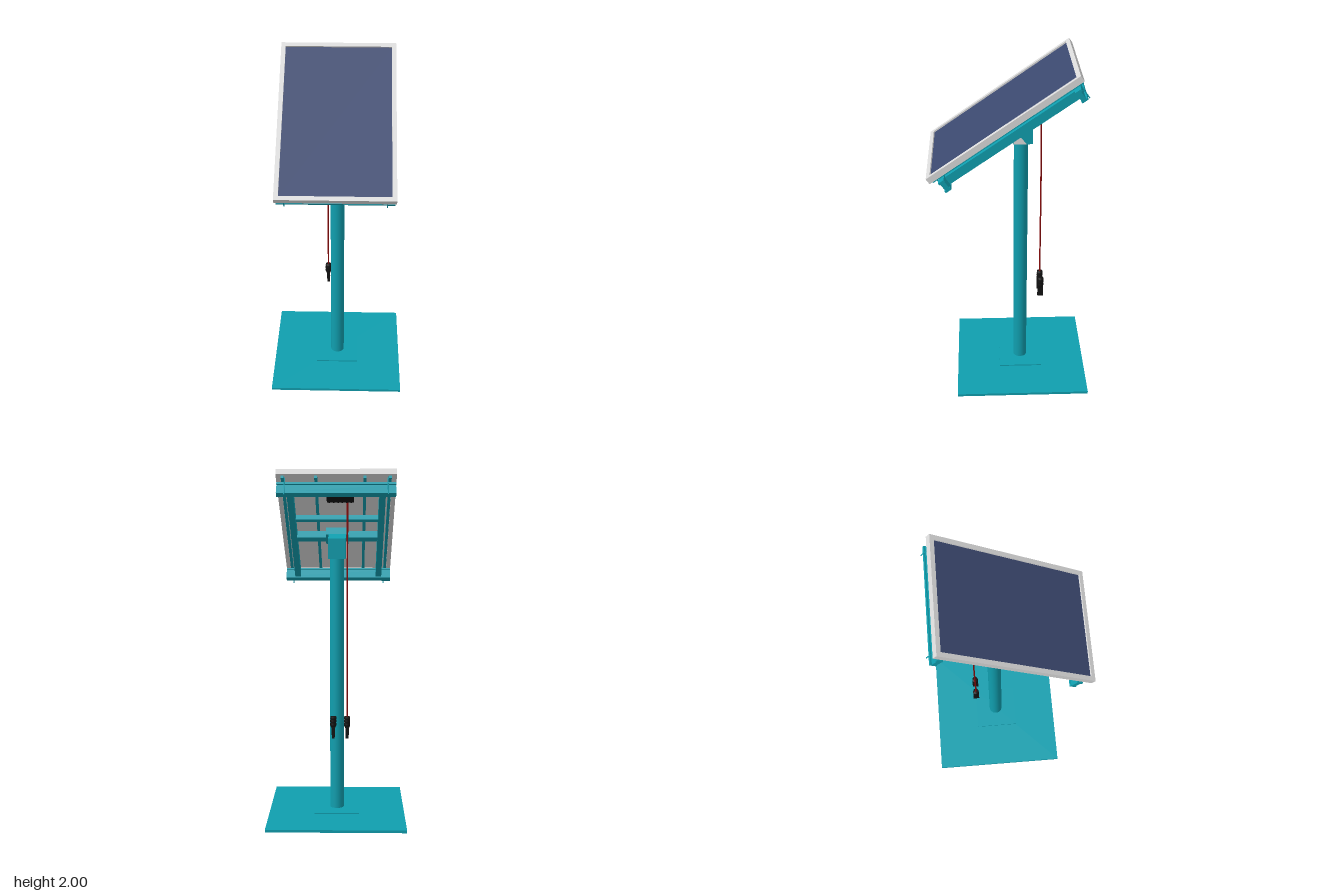
import * as THREE from 'three';

const mat = (name, color, side = THREE.FrontSide) => {
  const m = new THREE.MeshStandardMaterial({ color, side });
  m.name = name;
  return m;
};

export function createModel() {
  const teal = mat('teal paint', 0x109eae);
  const silver = mat('silver frame', 0xdadada);
  const navy = mat('navy cells', 0x3b486f);
  const black = mat('black plastic', 0x121212);
  const red = mat('red cable', 0x8a0a0a);
  const root = new THREE.Group();
  root.name = 'solarPanelStand';

  const add = (parent, name, geo, material, x = 0, y = 0, z = 0) => {
    const m = new THREE.Mesh(geo, material);
    m.name = name;
    m.position.set(x, y, z);
    parent.add(m);
    return m;
  };
  // Box given by its centre and size
  const box = (parent, name, material, [x, y, z], [w, h, d]) =>
    add(parent, name, new THREE.BoxGeometry(w, h, d), material, x, y, z);

  // Base and pole
  const poleZ = -0.066;
  box(root, 'basePlate', teal, [0, 0.0075, poleZ - 0.002], [0.794, 0.015, 0.79]);
  box(root, 'poleFlange', teal, [0, 0.018, poleZ], [0.26, 0.008, 0.26]);
  add(root, 'pole', new THREE.CylinderGeometry(0.041, 0.041, 1.56, 32), teal, 0, 0.8, poleZ);

  // Pole head: side profile in (z, y), extruded along x
  const sideExtrude = (points, width) => {
    const shape = new THREE.Shape(points.map(([z, y]) => new THREE.Vector2(-z, y)));
    const geo = new THREE.ExtrudeGeometry(shape, { depth: width, bevelEnabled: false });
    return geo.translate(0, 0, -width / 2).rotateY(Math.PI / 2);
  };
  add(root, 'poleHead', sideExtrude(
    [[-0.02, 1.505], [-0.13, 1.505], [-0.13, 1.62], [-0.04, 1.65], [0, 1.66], [-0.02, 1.6]], 0.1), teal);
  for (const s of [-1, 1]) {
    add(root, 'headGusset', sideExtrude([[-0.022, 1.6], [-0.022, 1.506], [-0.095, 1.506]], 0.004),
      silver, s * 0.051, 0, 0);
  }

  // Tilted assembly: local y is the panel normal, its top face at y = 0
  const tilt = new THREE.Group();
  tilt.name = 'tiltedPanel';
  tilt.position.set(0, 1.715, 0.054);
  tilt.rotation.x = THREE.MathUtils.degToRad(35);
  root.add(tilt);

  // Panel frame, back sheet and cell sheet
  const W = 0.652, L = 0.993, T = 0.035, rim = 0.025;
  for (const s of [-1, 1]) {
    box(tilt, 'frameSide', silver, [s * (W - rim) / 2, -T / 2, 0], [rim, T, L]);
    box(tilt, 'frameEnd', silver, [0, -T / 2, s * (L - rim) / 2], [W - 2 * rim, T, rim]);
  }
  box(tilt, 'backSheet', silver, [0, -0.022, 0], [W - 2 * rim, 0.014, L - 2 * rim]);
  box(tilt, 'cellSheet', navy, [0, -0.012, 0], [W - 2 * rim, 0.006, L - 2 * rim]);

  // Thin rails directly under the panel
  for (const x of [-0.29, -0.155, 0.11, 0.29]) {
    box(tilt, 'thinRail', teal, [x, -0.043, 0], [0.016, 0.016, 0.97]);
  }

  // End channels, long beams and bolts, mirrored
  for (const s of [-1, 1]) {
    box(tilt, 'endChannelWeb', teal, [0, -0.096, s * 0.438], [0.645, 0.046, 0.026]);
    for (const y of [-0.067, -0.125]) {
      box(tilt, 'endChannelFlange', teal, [0, y, s * 0.441], [0.645, 0.012, 0.038]);
    }
    box(tilt, 'longBeam', teal, [s * 0.25, -0.097, 0], [0.035, 0.05, 0.86]);
    for (const e of [-1, 1]) {
      add(tilt, 'bolt', new THREE.CylinderGeometry(0.003, 0.003, 0.11, 8), teal, s * 0.279, -0.09, e * 0.464);
    }
  }
  // Cross bars between the long beams
  box(tilt, 'mainCrossBar', teal, [0, -0.097, 0.01], [0.48, 0.045, 0.045]);
  box(tilt, 'upperCrossBar', teal, [0, -0.09, -0.16], [0.48, 0.03, 0.025]);
  box(tilt, 'headSaddle', teal, [0, -0.1, 0.0], [0.13, 0.05, 0.1]);

  // Junction box with ribs
  box(tilt, 'junctionBox', black, [-0.02, -0.044, -0.325], [0.15, 0.03, 0.11]);
  for (let i = 0; i < 6; i++) {
    box(tilt, 'junctionBoxRib', black, [-0.08 + i * 0.024, -0.062, -0.325], [0.008, 0.008, 0.1]);
  }

  // Hanging cable
  const cable = new THREE.CatmullRomCurve3([
    new THREE.Vector3(-0.06, 1.85, -0.19), new THREE.Vector3(-0.06, 1.75, -0.183),
    new THREE.Vector3(-0.06, 1.2, -0.188), new THREE.Vector3(-0.06, 0.59, -0.19)]);
  add(root, 'cable', new THREE.TubeGeometry(cable, 24, 0.0045, 8), red);

  // Plug connectors: ribbed grip above a flat tongue
  for (const x of [-0.06, 0.02]) {
    const plug = new THREE.Group();
    plug.name = 'plug';
    plug.position.set(x, 0, -0.19);
    root.add(plug);
    const profile = [[0, 0.535], [0.012, 0.535], [0.018, 0.548], [0.018, 0.56], [0.015, 0.563],
      [0.018, 0.568], [0.018, 0.58], [0.015, 0.583], [0.018, 0.588], [0.017, 0.6], [0, 0.6]];
    add(plug, 'plugGrip', new THREE.LatheGeometry(profile.map(p => new THREE.Vector2(...p)), 16), black);
    box(plug, 'plugBody', black, [0, 0.518, 0], [0.02, 0.045, 0.034]);
    box(plug, 'plugNeck', black, [0, 0.494, 0], [0.014, 0.012, 0.024]);
    box(plug, 'plugTip', black, [0, 0.482, 0], [0.016, 0.014, 0.036]);
  }
  return root;
}
